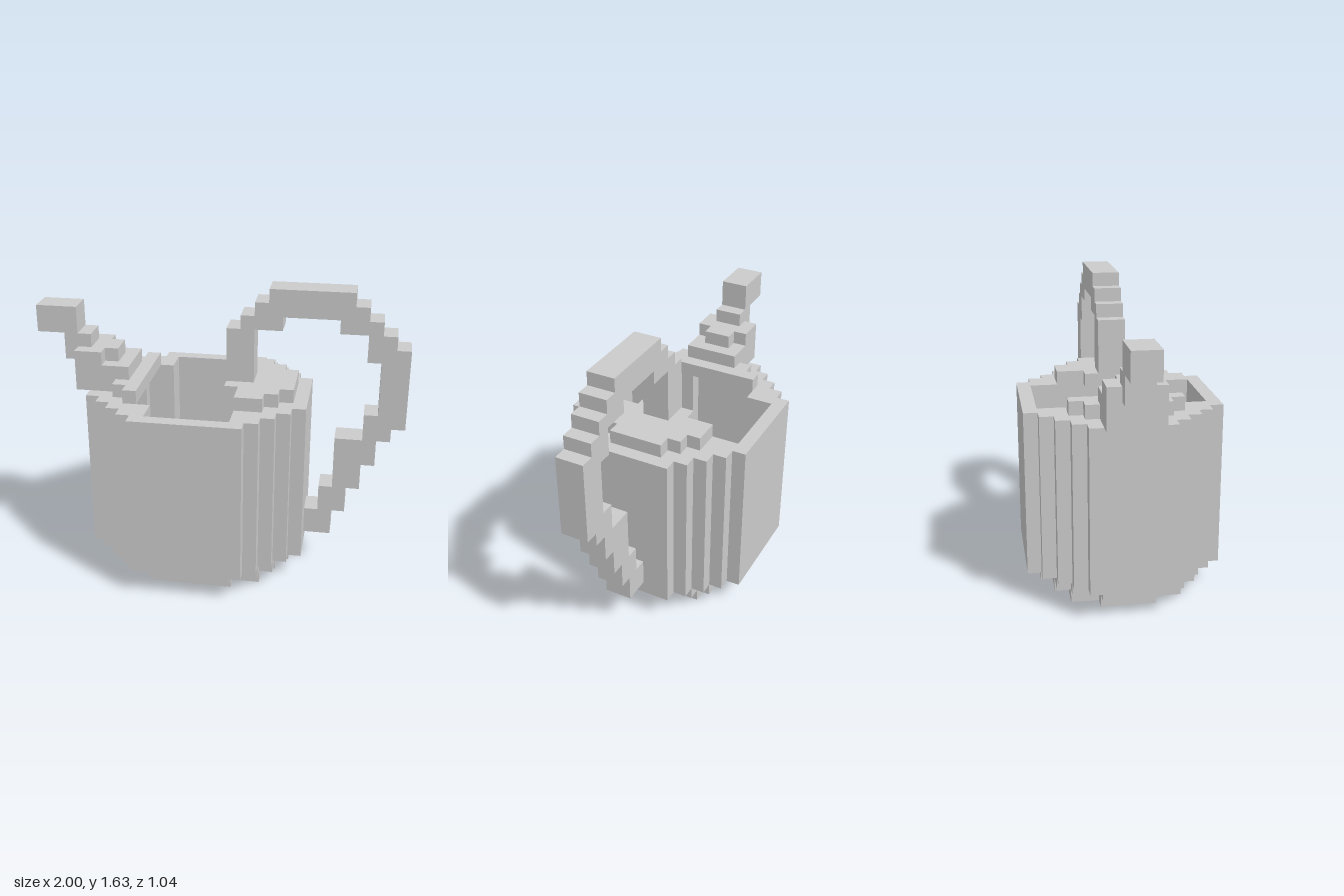
import * as THREE from 'three';

const U = 2 / 27; // one block
const material = new THREE.MeshStandardMaterial({ color: 0xcccccc, flatShading: true });

// Stepped outline, symmetric in z, from bands [halfZ, xMin, xMax] ordered by growing halfZ
function outline(bands) {
  const left = [], right = [];
  let z = 0;
  for (const [halfZ, x0, x1] of bands) {
    left.push([x0, z], [x0, halfZ]);
    right.push([x1, z], [x1, halfZ]);
    z = halfZ;
  }
  const half = [...right, ...left.reverse()].filter(p => p[1] !== 0);
  const mirrored = half.map(([x, d]) => [x, -d]).reverse();
  return [...half, ...mirrored].map(([x, d]) => new THREE.Vector2(x * U - 1, d * U));
}

// Horizontal slab between two block heights, optionally hollow
function slab(name, bands, y0, y1, hole) {
  const shape = new THREE.Shape(outline(bands));
  if (hole) shape.holes.push(new THREE.Path(outline(hole)));
  const geo = new THREE.ExtrudeGeometry(shape, { depth: (y1 - y0) * U, bevelEnabled: false });
  geo.rotateX(-Math.PI / 2);
  geo.translate(0, y0 * U, 0);
  const mesh = new THREE.Mesh(geo, material);
  mesh.name = name;
  return mesh;
}

// Upright stepped outline two blocks thick
function upright(name, points, hole) {
  const toVec = ([x, y]) => new THREE.Vector2(x * U - 1, y * U);
  const shape = new THREE.Shape(points.map(toVec));
  const geo = new THREE.ExtrudeGeometry(shape, { depth: 2 * U, bevelEnabled: false });
  geo.translate(0, 0, -U);
  const mesh = new THREE.Mesh(geo, material);
  mesh.name = name;
  return mesh;
}

export function createModel() {
  const group = new THREE.Group();
  group.name = 'wateringCan';

  // Tank: base plate, stepped foot ring and hollow wall
  const base = [[2, 6, 18], [4, 7, 17], [5, 9, 15]];
  const foot = [[2, 5, 19], [4, 6, 18], [5, 7, 17], [6, 9, 15]];
  const wall = [[3, 4, 20], [4, 5, 19], [5, 6, 18], [6, 7, 17], [7, 8, 16]];
  const hollow = [[2, 5, 19], [3, 6, 18], [4, 7, 17], [6, 9, 15]];
  group.add(slab('base', base, 0, 1));
  group.add(slab('footRing', foot, 1, 2, base));
  group.add(slab('tankWall', wall, 2, 14, hollow));

  // Half cover under the handle
  group.add(slab('cover', [[2, 14, 19], [3, 15, 18], [4, 15, 17]], 14, 15));

  // Spout: stepped root on the rim, then neck and nozzle
  group.add(slab('spoutRoot', [[2, 3, 8], [3, 6, 8], [4, 7, 8]], 14, 15));
  group.add(slab('spoutCollar', [[2, 3, 7]], 15, 16));
  group.add(slab('spoutCollarTop', [[1, 3, 6], [2, 3, 5]], 16, 17));
  group.add(upright('spoutNeck', [
    [2, 16], [4, 16], [4, 18], [3, 18], [3, 20], [0, 20], [0, 18], [2, 18],
  ]));

  // Handle: stepped loop from the cover, over the top and down to the tank side
  group.add(upright('handle', [
    // outer edge
    [14, 15], [14, 19], [15, 19], [15, 20], [16, 20], [16, 21], [17, 21], [17, 22],
    [23, 22], [23, 21], [24, 21], [24, 20], [25, 20], [25, 19], [26, 19], [26, 18],
    [27, 18], [27, 12], [26, 12], [26, 11], [25, 11], [25, 9], [24, 9], [24, 7],
    [23, 7], [23, 5], [22, 5], [22, 3], [20, 3],
    // inner edge
    [20, 5], [21, 5], [21, 7], [22, 7], [22, 11], [24, 11], [24, 13], [25, 13],
    [25, 17], [24, 17], [24, 19], [22, 19], [22, 20], [18, 20], [18, 19], [16, 19], [16, 15],
  ]));

  return group;
}
